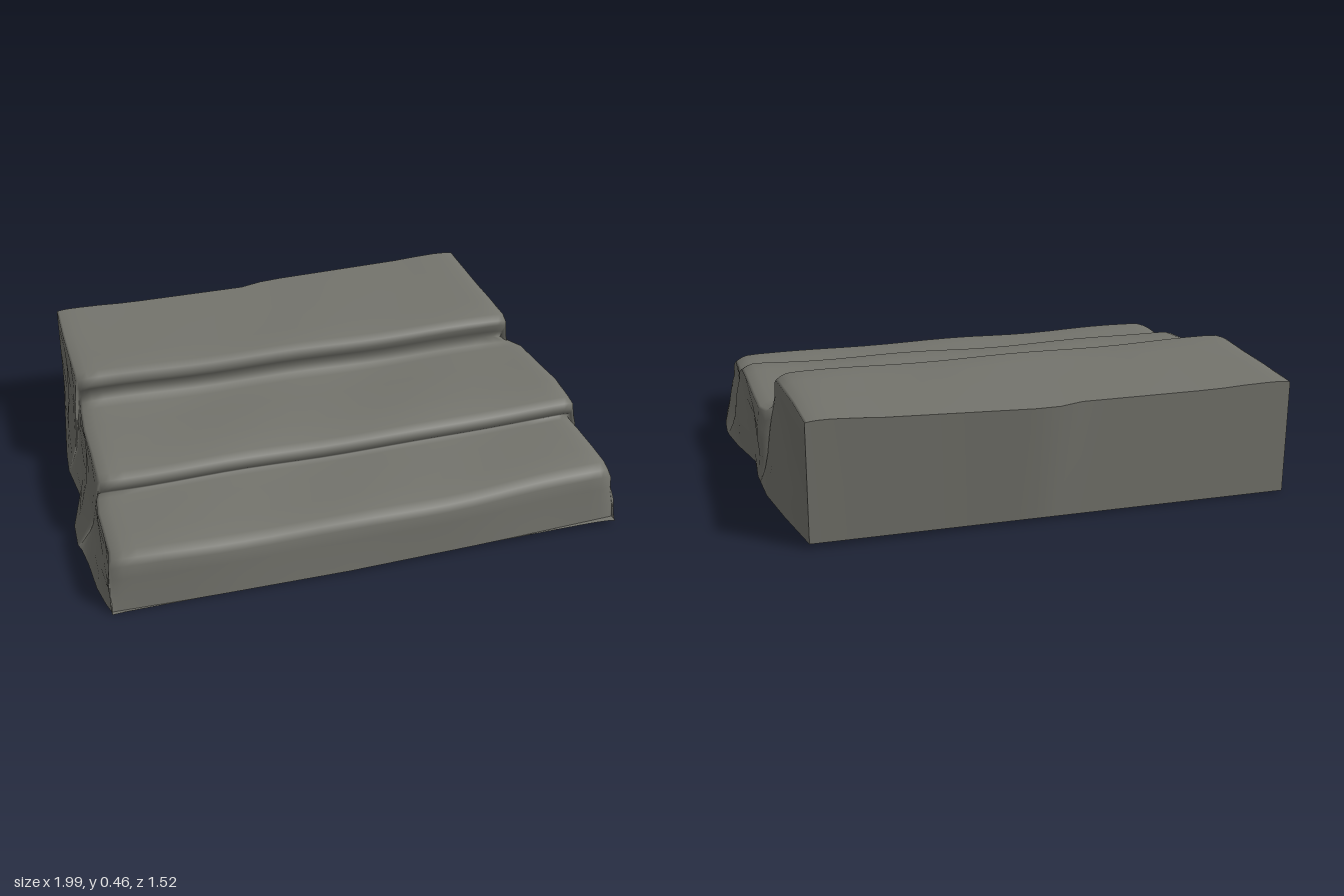
import * as THREE from 'three';

// Piecewise linear lookup in a list of [position, value] pairs
function lookup(table, p) {
  if (p <= table[0][0]) return table[0][1];
  for (let i = 1; i < table.length; i++) {
    const [a, va] = table[i - 1], [b, vb] = table[i];
    if (p <= b) return va + (vb - va) * (p - a) / (b - a);
  }
  return table[table.length - 1][1];
}

// Ragged outline of the foot, by z
const footLeft = [[-0.73, -0.89], [-0.45, -0.93], [-0.2, -0.955], [0.07, -0.93], [0.2, -0.985],
  [0.28, -1], [0.4, -0.97], [0.55, -0.97], [0.68, -0.95], [0.74, -0.935]];
const footRight = [[-0.73, 0.84], [-0.5, 0.89], [-0.33, 0.925], [-0.12, 0.935], [-0.05, 0.915],
  [0.1, 0.94], [0.25, 0.99], [0.4, 1], [0.55, 0.98], [0.67, 0.955], [0.74, 0.93]];

// Stair profile from the front foot to the back: z, y, left end, right end
const profile = [
  [0.76, 0, -0.935, 0.93], [0.755, 0.06, -0.935, 0.93], [0.75, 0.13, -0.93, 0.925],
  [0.748, 0.18, -0.93, 0.925], [0.735, 0.205, -0.925, 0.92], [0.7, 0.218, -0.92, 0.92],
  [0.6, 0.222, -0.92, 0.92], [0.45, 0.223, -0.92, 0.92], [0.36, 0.222, -0.91, 0.92],
  [0.335, 0.226, -0.905, 0.92], [0.348, 0.24, -0.9, 0.93], [0.356, 0.262, -0.9, 0.935],
  [0.348, 0.283, -0.9, 0.935], [0.32, 0.297, -0.9, 0.93], [0.2, 0.312, -0.9, 0.93],
  [0.02, 0.308, -0.9, 0.925], [-0.12, 0.305, -0.89, 0.92], [-0.16, 0.311, -0.885, 0.9],
  [-0.172, 0.335, -0.885, 0.85], [-0.158, 0.365, -0.89, 0.85], [-0.148, 0.39, -0.895, 0.86],
  [-0.152, 0.415, -0.895, 0.86], [-0.18, 0.43, -0.895, 0.86], [-0.3, 0.432, -0.895, 0.855],
  [-0.5, 0.436, -0.895, 0.845], [-0.735, 0.44, -0.89, 0.84]];

// Wavy height and chipped line of the back edge, by x
const backRise = [[-0.9, -0.008], [-0.75, -0.008], [-0.6, -0.014], [0, -0.01], [0.6, 0.012], [0.72, 0.022], [0.85, 0.022]];
const backLine = [[-0.06, 0.003], [-0.015, -0.03], [0.85, -0.013]];
const frontLine = [[-0.93, -0.018], [-0.6, -0.006], [-0.1, 0], [0.4, -0.012], [0.93, -0.036]];

const footY = x => Math.max(0, 0.01 + 0.01 * x);

const across = [-1, -0.99, -0.975, -0.95, -0.9];
for (let i = -8; i <= 8; i++) across.push(i / 10);
across.push(0.9, 0.95, 0.975, 0.99, 1);

// Worn top surface at position u (-1 to 1) along one profile point
function treadPoint([z, y, left, right], u) {
  const x = left + (right - left) * (u + 1) / 2;
  const back = THREE.MathUtils.clamp((-z - 0.15) / 0.585, 0, 1);
  const front = THREE.MathUtils.clamp((z - 0.35) / 0.35, 0, 1);
  const lift = THREE.MathUtils.clamp(y / 0.2, 0, 1);
  const edge = Math.max(0, (Math.abs(u) - 0.93) / 0.07) ** 2;
  const wear = 0.008 * Math.cos(u * 1.6) * (back > 0 ? 0.4 : 1) + 0.003 * Math.sin(x * 9 + z * 7);
  const py = y + lift * ((back > 0 ? 0.004 : 0.012) * x - wear * (1 - back) - 0.018 * edge * (1 - back * 0.7))
    + back * lookup(backRise, x) + (1 - lift) * footY(x);
  const pz = z + front * lookup(frontLine, x) + (z < 0.3 ? 0 : 0.004 * Math.sin(x * 7) * lift)
    + Math.max(0, (back - 0.8) / 0.2) * lookup(backLine, x) - (1 - back) * lift * 0.022 * edge;
  return [x, py, pz];
}

// Flared side wall from the tread edge down to the foot
const wallSteps = 7;
function wall(edgePoint, zFoot, foot, phase) {
  const [x, y, z] = edgePoint, points = [];
  const xf = lookup(foot, zFoot), yf = footY(xf);
  for (let i = 1; i <= wallSteps; i++) {
    const t = i / wallSteps, h = y + (yf - y) * t;
    const flare = Math.pow(t, 1.8);
    const lump = 0.01 * Math.sin(Math.PI * t) * Math.sin(z * 13 + t * 5 + phase) * Math.min(1, y / 0.2)
      * THREE.MathUtils.clamp((z + 0.735) * 4, 0, 1);
    points.push([x + (xf - x) * flare + lump, h, z + (zFoot - z) * t]);
  }
  return points;
}

function buildRows() {
  let zLow = 1;
  return profile.map((p, j) => {
    const top = across.map(u => treadPoint(p, u));
    zLow = Math.min(zLow - 0.002, p[0]);
    const last = j === profile.length - 1;
    const zl = last ? -0.73 : Math.min(zLow, top[0][2] + 0.03);
    const zr = last ? -0.73 : Math.min(zLow, top[top.length - 1][2] + 0.03);
    return [...wall(top[0], zl, footLeft, 0).reverse(), ...top,
      ...wall(top[top.length - 1], zr, footRight, 2)];
  });
}

// Smooth skin through rows of points
function skin(rows) {
  const n = rows[0].length, index = [];
  for (let j = 0; j < rows.length - 1; j++) {
    for (let i = 0; i < n - 1; i++) {
      const a = j * n + i, b = a + n;
      index.push(a, a + 1, b + 1, a, b + 1, b);
    }
  }
  const g = new THREE.BufferGeometry();
  g.setAttribute('position', new THREE.Float32BufferAttribute(rows.flat(2), 3));
  g.setIndex(index);
  g.computeVertexNormals();
  return g;
}

export function createModel() {
  const stone = new THREE.MeshStandardMaterial({ color: 0x74746d, side: THREE.DoubleSide });
  stone.name = 'grey stone';
  const group = new THREE.Group();
  group.name = 'stoneSteps';
  const add = (name, geometry) => {
    const mesh = new THREE.Mesh(geometry, stone);
    mesh.name = name;
    group.add(mesh);
  };

  const rows = buildRows();
  const lastRow = rows[rows.length - 1];

  // Three worn steps with their rough side walls
  add('steps', skin(rows));

  // Cut back face, leaning in slightly toward the foot
  add('backFace', skin([lastRow, lastRow.map(([x]) => [x, footY(x), -0.73])]));

  // Flat underside
  const under = rows.map(r => [r[r.length - 1], r[0]]);
  under[0] = [...rows[0]].reverse();
  const front = [...rows[0]].reverse();
  const ends = rows.map(r => front.map((p, i) => {
    const a = r[r.length - 1], b = r[0], t = i / (front.length - 1);
    return a.map((v, k) => v + (b[k] - v) * t);
  }));
  ends[0] = front;
  add('underside', skin(ends));

  return group;
}
